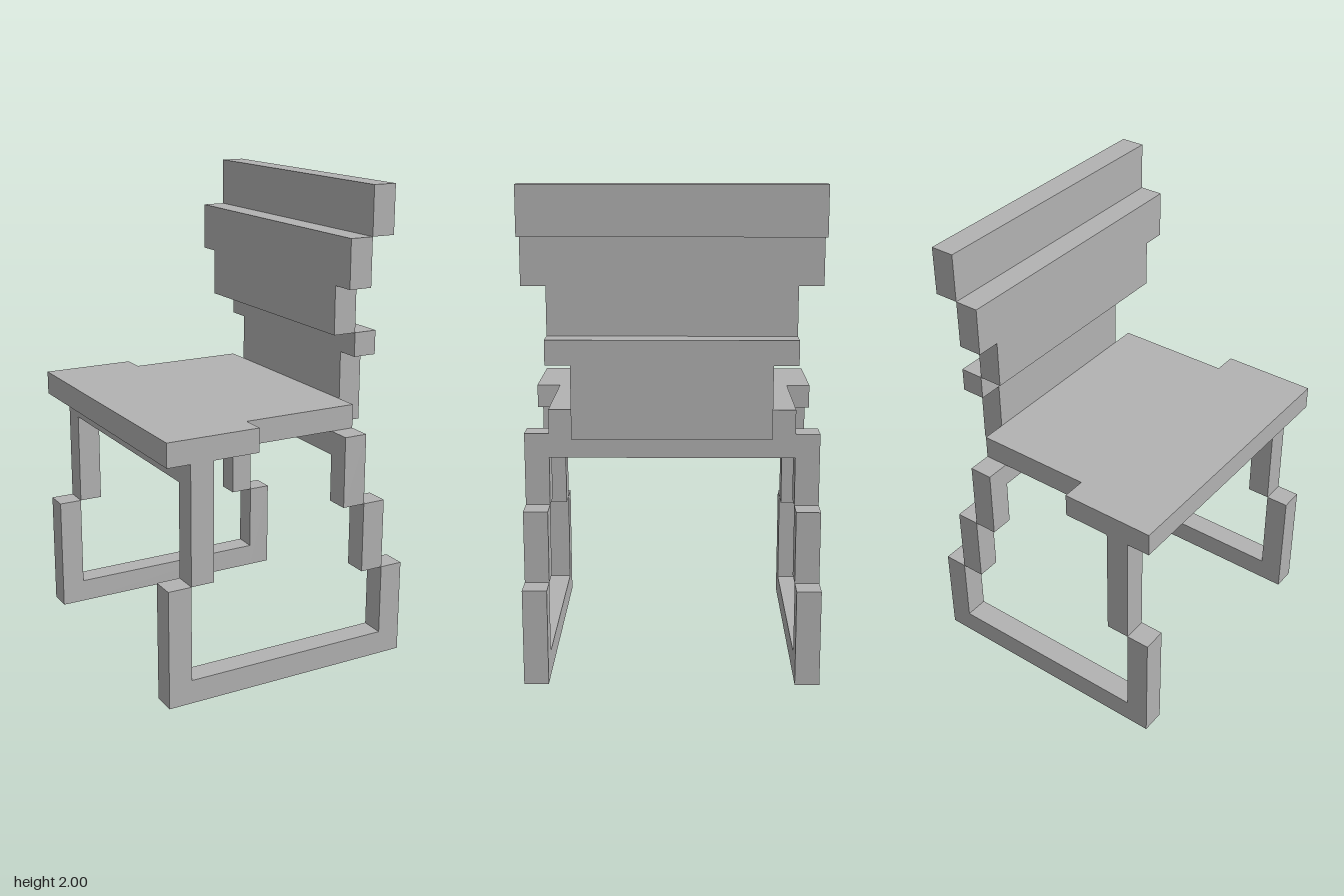
import * as THREE from 'three';

export function createModel() {
  const chair = new THREE.Group();
  chair.name = 'chair';
  const grey = new THREE.MeshStandardMaterial({ color: 0xb2b2b2 });
  grey.name = 'plain grey';

  // Box given by its extents along x, y and z
  const block = (name, [x0, x1], [y0, y1], [z0, z1], parent = chair) => {
    const mesh = new THREE.Mesh(new THREE.BoxGeometry(x1 - x0, y1 - y0, z1 - z0), grey);
    mesh.position.set((x0 + x1) / 2, (y0 + y1) / 2, (z0 + z1) / 2);
    mesh.name = name;
    parent.add(mesh);
  };

  // Seat: one T-shaped slab, wide at the front and notched towards the backrest
  const outline = new THREE.Shape([
    [-0.55, -0.6], [-0.15, -0.6], [-0.15, -0.5], [0.35, -0.5],
    [0.35, 0.5], [-0.15, 0.5], [-0.15, 0.6], [-0.55, 0.6],
  ].map(([x, y]) => new THREE.Vector2(x, y)));
  const seatGeometry = new THREE.ExtrudeGeometry(outline, { depth: 0.1, bevelEnabled: false });
  seatGeometry.rotateX(-Math.PI / 2).translate(0, 1, 0);
  const seat = new THREE.Mesh(seatGeometry, grey);
  seat.name = 'seat';
  chair.add(seat);

  // Backrest: stepped slats, [x range, y range, half width]
  const backrest = new THREE.Group();
  backrest.name = 'backrest';
  chair.add(backrest);
  [
    [[0.35, 0.45], [1.0, 1.3], 0.4],
    [[0.35, 0.45], [1.3, 1.4], 0.5],
    [[0.25, 0.35], [1.4, 1.6], 0.5],
    [[0.25, 0.35], [1.6, 1.8], 0.6],
    [[0.35, 0.45], [1.8, 2.0], 0.6],
  ].forEach(([x, y, w], i) => block(`backSlat${i + 1}`, x, y, [-w, w], backrest));

  // Side frames: stepped legs joined by a floor runner
  for (const [side, z] of [['near', [0.5, 0.6]], ['far', [-0.6, -0.5]]]) {
    const frame = new THREE.Group();
    frame.name = `${side}SideFrame`;
    chair.add(frame);
    block('frontLegLower', [-0.55, -0.45], [0, 0.5], z, frame);
    block('frontLegUpper', [-0.45, -0.35], [0.5, 1], z, frame);
    block('rearLegLower', [0.45, 0.55], [0, 0.4], z, frame);
    block('rearLegMiddle', [0.35, 0.45], [0.4, 0.7], z, frame);
    block('rearLegUpper', [0.25, 0.35], [0.7, 1], z, frame);
    block('floorRunner', [-0.45, 0.45], [0, 0.1], z, frame);
  }

  // Crossbars under the seat between the leg tops
  block('frontCrossbar', [-0.45, -0.35], [0.9, 1], [-0.5, 0.5]);
  block('rearCrossbar', [0.25, 0.35], [0.9, 1], [-0.5, 0.5]);

  return chair;
}
